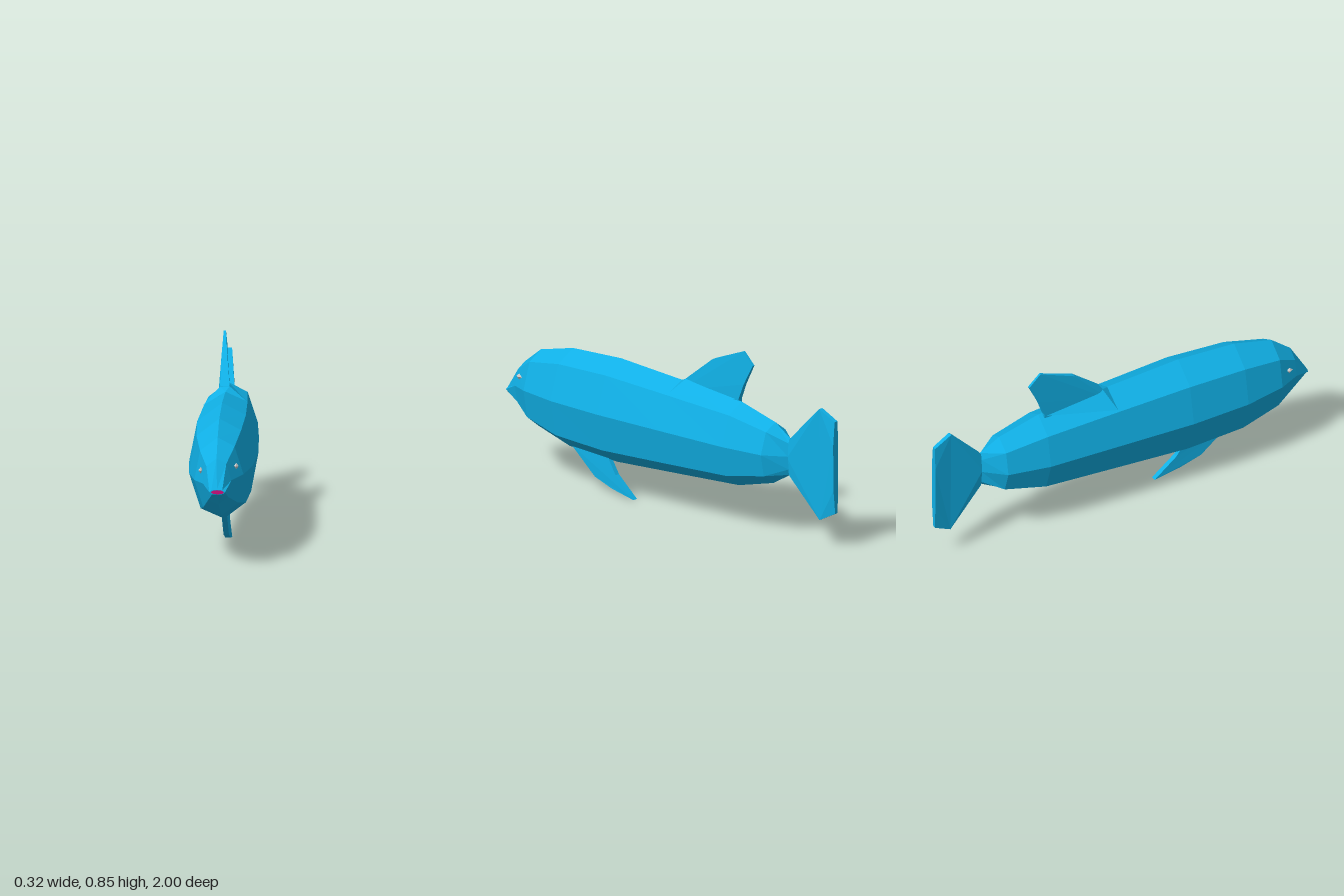
import * as THREE from 'three';

const paint = (color) => new THREE.MeshStandardMaterial({ color, flatShading: true });

function meshFrom(name, tris, material) {
  const geo = new THREE.BufferGeometry();
  geo.setAttribute('position', new THREE.Float32BufferAttribute(tris.flat(), 3));
  geo.computeVertexNormals();
  const mesh = new THREE.Mesh(geo, material);
  mesh.name = name;
  return mesh;
}

// Slightly skewed octagon: clockwise seen from the front, starting at the back ridge
const SECTION = [[-0.06, 1], [0.62, 0.77], [0.98, 0.06], [0.77, -0.67],
  [0.09, -1], [-0.64, -0.8], [-1, -0.1], [-0.77, 0.65]];

// Rings along the body: z, top, bottom, half width, sideways drift
const RINGS = [
  [1, 0.387, 0.363, 0.037, 0.004],
  [0.92, 0.52, 0.30, 0.067, 0],
  [0.82, 0.60, 0.23, 0.116, 0.003],
  [0.62, 0.65, 0.175, 0.15, 0.002],
  [0.32, 0.665, 0.163, 0.163, 0],
  [-0.06, 0.642, 0.187, 0.15, -0.005],
  [-0.43, 0.615, 0.21, 0.132, -0.012],
  [-0.64, 0.56, 0.265, 0.097, -0.016],
  [-0.74, 0.5, 0.325, 0.02, -0.018],
];

const ringPoints = ([z, top, bottom, half, drift], s = 1) => SECTION.map(([u, v]) =>
  [drift + u * half * s, (top + bottom) / 2 + v * s * (top - bottom) / 2, z]);

function loft(rings) {
  const tris = [];
  for (let i = 0; i + 1 < rings.length; i++) {
    for (let k = 0; k < 8; k++) {
      const n = (k + 1) % 8;
      const [a, b, c, d] = [rings[i][k], rings[i][n], rings[i + 1][n], rings[i + 1][k]];
      tris.push(a, b, c, a, c, d);
    }
  }
  return tris;
}

function cap(ring, front) {
  const tris = [];
  for (let k = 1; k < 7; k++) {
    tris.push(ring[0], ...(front ? [ring[k + 1], ring[k]] : [ring[k], ring[k + 1]]));
  }
  return tris;
}

// Fin from outline points [z, y, xMin, xMax], counter-clockwise seen from +x
function fin(name, pts, material) {
  const L = pts.map(([z, y, a]) => [a, y, z]);
  const R = pts.map(([z, y, , b]) => [b, y, z]);
  const flat = pts.map(([z, y]) => new THREE.Vector2(-z, y));
  const tris = [];
  for (const [a, b, c] of THREE.ShapeUtils.triangulateShape(flat, [])) {
    tris.push(R[a], R[b], R[c], L[a], L[c], L[b]);
  }
  pts.forEach((_, i) => {
    const j = (i + 1) % pts.length;
    tris.push(R[i], L[i], L[j], R[i], L[j], R[j]);
  });
  return meshFrom(name, tris, material);
}

export function createModel() {
  const group = new THREE.Group();
  const skin = paint(0x10b0e6);
  const pink = paint(0xd0107c);
  const grey = paint(0xcccccc);

  // Body with a thin lip around the mouth
  const rings = RINGS.map((r) => ringPoints(r));
  const inner = ringPoints(RINGS[0], 0.84);
  group.add(meshFrom('body',
    [...loft([inner, ...rings]), ...cap(rings[rings.length - 1], false)], skin));
  group.add(meshFrom('mouth', cap(inner, true), pink));

  // Dorsal fin
  group.add(fin('dorsalFin', [
    [-0.07, 0.60, -0.05, 0.01],
    [-0.41, 0.58, -0.042, -0.018],
    [-0.41, 0.62, -0.042, -0.018],
    [-0.44, 0.70, -0.042, -0.022],
    [-0.49, 0.80, -0.042, -0.029],
    [-0.43, 0.858, -0.042, -0.031],
    [-0.25, 0.785, -0.042, -0.016],
    [-0.10, 0.662, -0.042, 0.003],
  ], skin));

  // Skirt blending the front of the dorsal fin into the back
  const ridge = [-0.014, 0.642, -0.06], tipL = [-0.042, 0.658, -0.1], tipR = [0.003, 0.66, -0.1];
  const left = [-0.12, 0.575, -0.06], right = [0.086, 0.597, -0.06];
  const rearL = [-0.042, 0.61, -0.4], rearR = [-0.018, 0.62, -0.4];
  group.add(meshFrom('dorsalFinBase', [
    left, ridge, tipL, ridge, right, tipR, ridge, tipR, tipL,
    right, rearR, tipR, left, tipL, rearL,
  ], skin));

  // Single belly fin
  group.add(fin('bellyFin', [
    [0.60, 0.19, 0.002, 0.028],
    [0.575, 0.168, 0.003, 0.026],
    [0.45, 0.065, 0.004, 0.029],
    [0.34, 0.03, 0.006, 0.031],
    [0.205, 0.004, 0.007, 0.032],
    [0.32, 0.10, 0.005, 0.029],
    [0.365, 0.168, 0.003, 0.026],
    [0.365, 0.19, 0.002, 0.026],
  ], skin));

  // Tail fin, bent a little to one side
  group.add(fin('tailFin', [
    [-0.735, 0.412, -0.038, 0.002],
    [-0.74, 0.325, -0.03, -0.006],
    [-0.91, 0.137, -0.042, -0.03],
    [-1, 0.185, -0.056, -0.04],
    [-1, 0.30, -0.06, -0.028],
    [-1, 0.52, -0.06, -0.026],
    [-1, 0.635, -0.056, -0.036],
    [-0.91, 0.682, -0.05, -0.028],
    [-0.74, 0.5, -0.03, -0.006],
  ], skin));

  // Eyes
  for (const [name, x, y] of [['leftEye', 0.086, 0.476], ['rightEye', -0.08, 0.454]]) {
    const eye = new THREE.Mesh(new THREE.OctahedronGeometry(0.016), grey);
    eye.name = name;
    eye.position.set(x, y, 0.875);
    eye.scale.set(0.7, 0.95, 1.1);
    group.add(eye);
  }
  return group;
}
